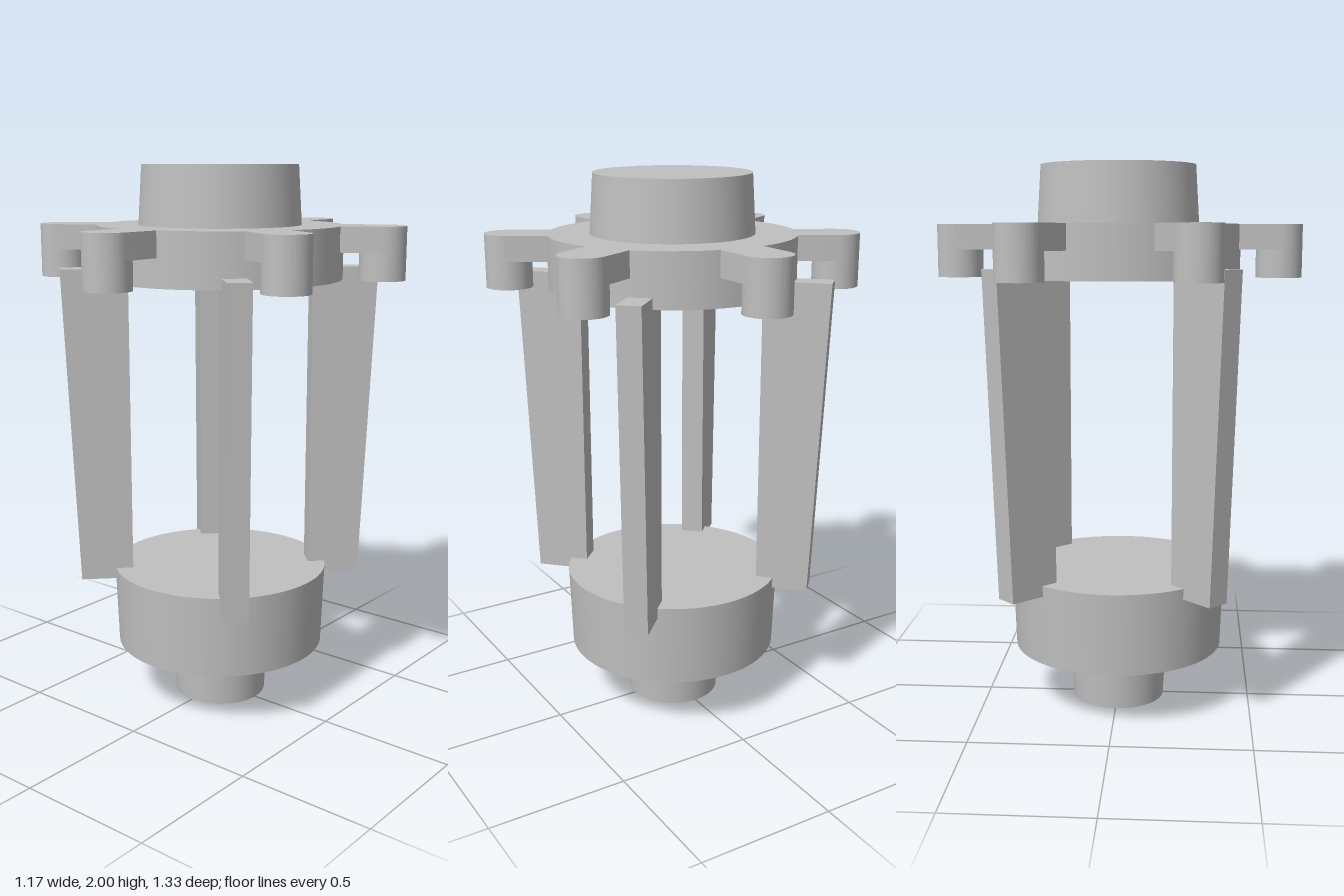
import * as THREE from 'three';
import { toCreasedNormals } from 'three/addons/utils/BufferGeometryUtils.js';

const RING_R = 0.443;   // radius of the upper ring
const ARM_R = 0.083;    // half width of an arm, radius of its rounded end
const ARM_REACH = 0.582; // distance from the axis to the centre of the rounded end
const ARM_ANGLES = [0, 1, 2, 3, 4, 5].map((i) => Math.PI / 6 + (i * Math.PI) / 3);

export function createModel() {
  const model = new THREE.Group();
  model.name = 'spindleCage';
  const grey = new THREE.MeshStandardMaterial({ color: 0xc0c0c0 });
  grey.name = 'plain grey';

  function add(name, geometry) {
    const mesh = new THREE.Mesh(geometry, grey);
    mesh.name = name;
    model.add(mesh);
    return mesh;
  }

  // round, slightly tapered solid standing between two heights
  function round(name, rBottom, rTop, y0, y1, x = 0, z = 0) {
    const mesh = add(name, new THREE.CylinderGeometry(rTop, rBottom, y1 - y0, 72));
    mesh.position.set(x, (y0 + y1) / 2, z);
    return mesh;
  }

  round('bottomPeg', 0.173, 0.185, 0, 0.215);
  round('base', 0.39, 0.401, 0.215, 0.515);
  round('upperRing', RING_R, RING_R, 1.6, 1.7);
  round('topCap', 0.293, 0.28, 1.79, 2);

  // six-armed plate: ring arcs alternating with rounded arms
  const half = Math.asin(ARM_R / RING_R);
  const outline = new THREE.Shape();
  ARM_ANGLES.forEach((a) => {
    outline.absarc(Math.cos(a) * ARM_REACH, Math.sin(a) * ARM_REACH, ARM_R,
      a - Math.PI / 2, a + Math.PI / 2, false);
    outline.absarc(0, 0, RING_R, a + half, a + Math.PI / 3 - half, false);
  });
  outline.closePath();
  const plate = new THREE.ExtrudeGeometry(outline, { depth: 0.09, bevelEnabled: false, curveSegments: 24 });
  plate.rotateX(-Math.PI / 2);
  add('armPlate', toCreasedNormals(plate, 0.5)).position.y = 1.7;

  // round feet hanging under the arm ends
  ARM_ANGLES.forEach((a) => {
    round('armFoot', ARM_R, ARM_R, 1.6, 1.7, Math.cos(a) * ARM_REACH, Math.sin(a) * ARM_REACH);
  });

  // four upright ribs, vertical inside and leaning outward outside
  const profile = new THREE.Shape([
    new THREE.Vector2(0.335, 0.475),
    new THREE.Vector2(0.528, 0.475),
    new THREE.Vector2(0.576, 1.638),
    new THREE.Vector2(0.335, 1.638),
  ]);
  const rib = new THREE.ExtrudeGeometry(profile, { depth: 0.085, bevelEnabled: false });
  rib.translate(0, 0, -0.0425);
  for (let i = 0; i < 4; i++) {
    add('rib', rib).rotation.y = Math.PI / 4 + (i * Math.PI) / 2;
  }

  return model;
}
